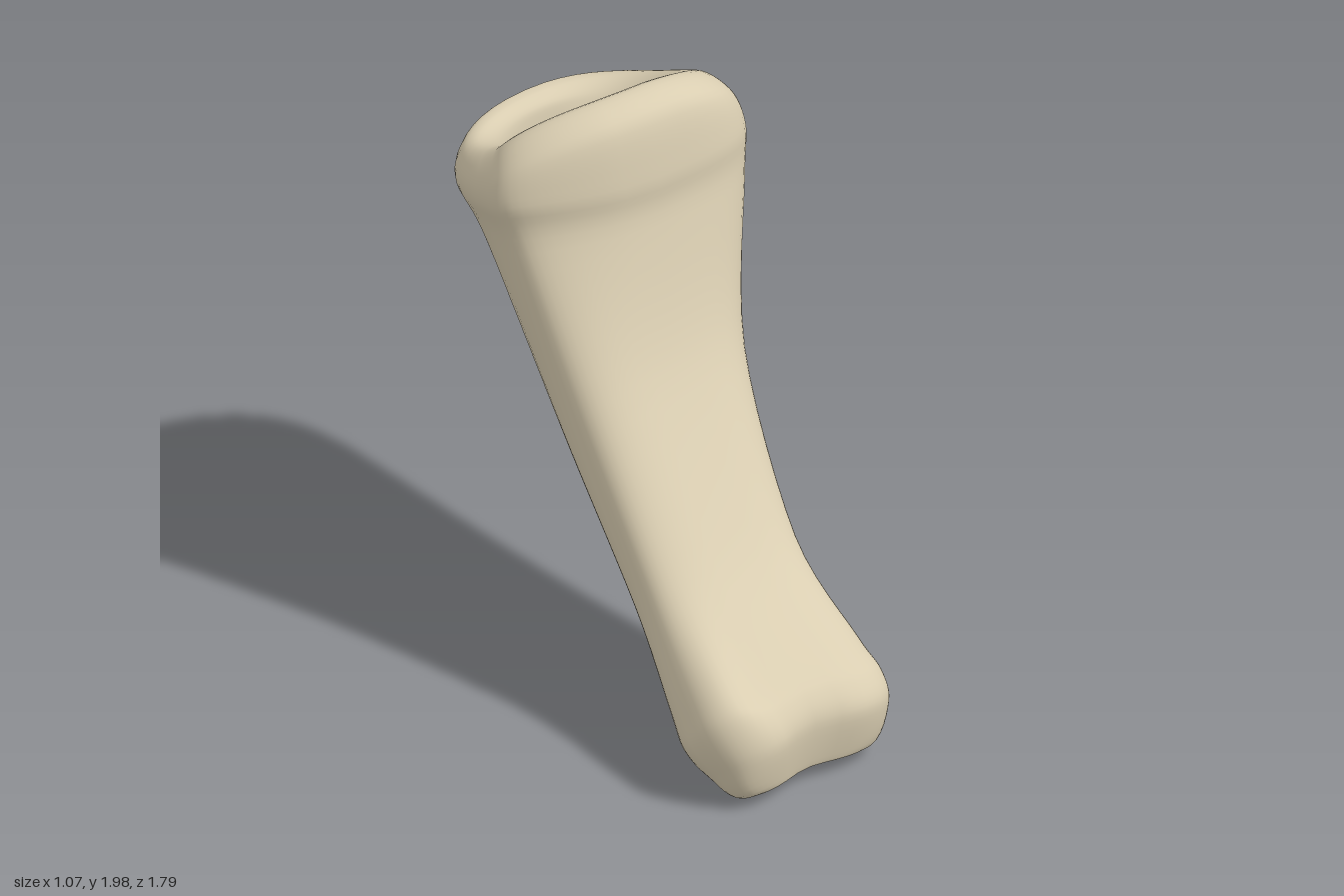
import * as THREE from 'three';
import { mergeVertices } from 'three/addons/utils/BufferGeometryUtils.js';

// Cross-sections from the lower knuckles to the upper socket:
// front z, front y, back z, back y, min x, max x
const SECTIONS = [
  [0.82, 0.09, 0.82, 0.09, -0.17, -0.17],
  [0.88, 0.09, 0.75, 0.01, -0.42, 0.09],
  [0.905, 0.25, 0.61, 0.04, -0.5, 0.18],
  [0.85, 0.34, 0.52, 0.11, -0.535, 0.2],
  [0.74, 0.41, 0.43, 0.2, -0.51, 0.19],
  [0.4, 0.64, 0.17, 0.42, -0.42, 0.19],
  [0, 1.14, -0.23, 0.83, -0.385, 0.31],
  [-0.17, 1.58, -0.75, 1.45, -0.4, 0.5],
  [-0.19, 1.75, -0.89, 1.61, -0.435, 0.535],
  [-0.24, 1.95, -0.88, 1.74, -0.41, 0.5],
  [-0.36, 2, -0.84, 1.755, -0.34, 0.42],
  [-0.46, 1.89, -0.77, 1.735, -0.2, 0.26],
  [-0.61, 1.79, -0.61, 1.79, 0.03, 0.03],
];
const SIDES = 48;
const STEPS = 72;
const { smoothstep } = THREE.MathUtils;

const power = (t, e) => Math.sign(t) * Math.abs(t) ** e;

// One point on a section's rim; angle 0 is +x and a quarter turn is the front
function rimPoint([fz, fy, bz, by, x0, x1], angle) {
  const width = x1 - x0;
  const height = (fy + by) / 2;
  const head = smoothstep(height, 1.2, 1.6);
  // squarer front, rounder back, widest line nearer the front of the head
  const e = Math.sin(angle) > 0 ? 0.65 : 0.85;
  const u = power(Math.cos(angle), e);
  const v = power(Math.sin(angle), e);
  const front = Math.max(0, v);
  const centre = 0.5 + 0.1 * head;
  const t = centre + v * (v > 0 ? 1 - centre : centre);
  const p = new THREE.Vector3(
    (x0 + x1) / 2 + (u * width) / 2,
    THREE.MathUtils.lerp(by, fy, t),
    THREE.MathUtils.lerp(bz, fz, t)
  );
  // upper end: slanted front and sagging side rims
  p.z -= 0.13 * head * width * Math.max(0, -u) ** 1.5 * front;
  p.y -= 0.09 * smoothstep(height, 1.66, 1.85) * width * u * u;
  // groove between the two knuckles
  const low = 1 - smoothstep(height, 0.1, 0.35);
  const dip = 0.08 * low * width * Math.exp(-(((p.x + 0.18) / 0.13) ** 2));
  p.z -= dip * front;
  p.y += dip * (1 - front);
  // raised knob on the right knuckle
  const knob = 0.07 * Math.exp(-(((height - 0.26) / 0.08) ** 2));
  p.y += knob * smoothstep(-p.x, 0.3, 0.46) * front;
  return p;
}

function boneGeometry() {
  const positions = [];
  const indices = [];
  // smooth lengthwise curves through matching rim points
  for (let i = 0; i < SIDES; i++) {
    const angle = (i / SIDES) * Math.PI * 2;
    const points = SECTIONS.map((section) => rimPoint(section, angle));
    const curve = new THREE.CatmullRomCurve3(points, false, 'catmullrom', 0.45);
    for (const p of curve.getPoints(STEPS)) positions.push(p.x, p.y, p.z);
  }
  const at = (i, j) => (i % SIDES) * (STEPS + 1) + j;
  for (let i = 0; i < SIDES; i++) {
    for (let j = 0; j < STEPS; j++) {
      const a = at(i, j), b = at(i + 1, j), c = at(i, j + 1), d = at(i + 1, j + 1);
      if (j > 0) indices.push(a, c, b);
      if (j < STEPS - 1) indices.push(b, c, d);
    }
  }
  const geometry = new THREE.BufferGeometry();
  geometry.setAttribute('position', new THREE.Float32BufferAttribute(positions, 3));
  geometry.setIndex(indices);
  // weld the poles where the end rings collapse
  const welded = mergeVertices(geometry, 1e-4);
  welded.computeVertexNormals();
  return welded;
}

export function createModel() {
  const group = new THREE.Group();
  group.name = 'fingerBone';
  const material = new THREE.MeshStandardMaterial({ color: 0xd9cdb1 });
  material.name = 'bone';
  const bone = new THREE.Mesh(boneGeometry(), material);
  bone.name = 'boneBody';
  group.add(bone);
  return group;
}
